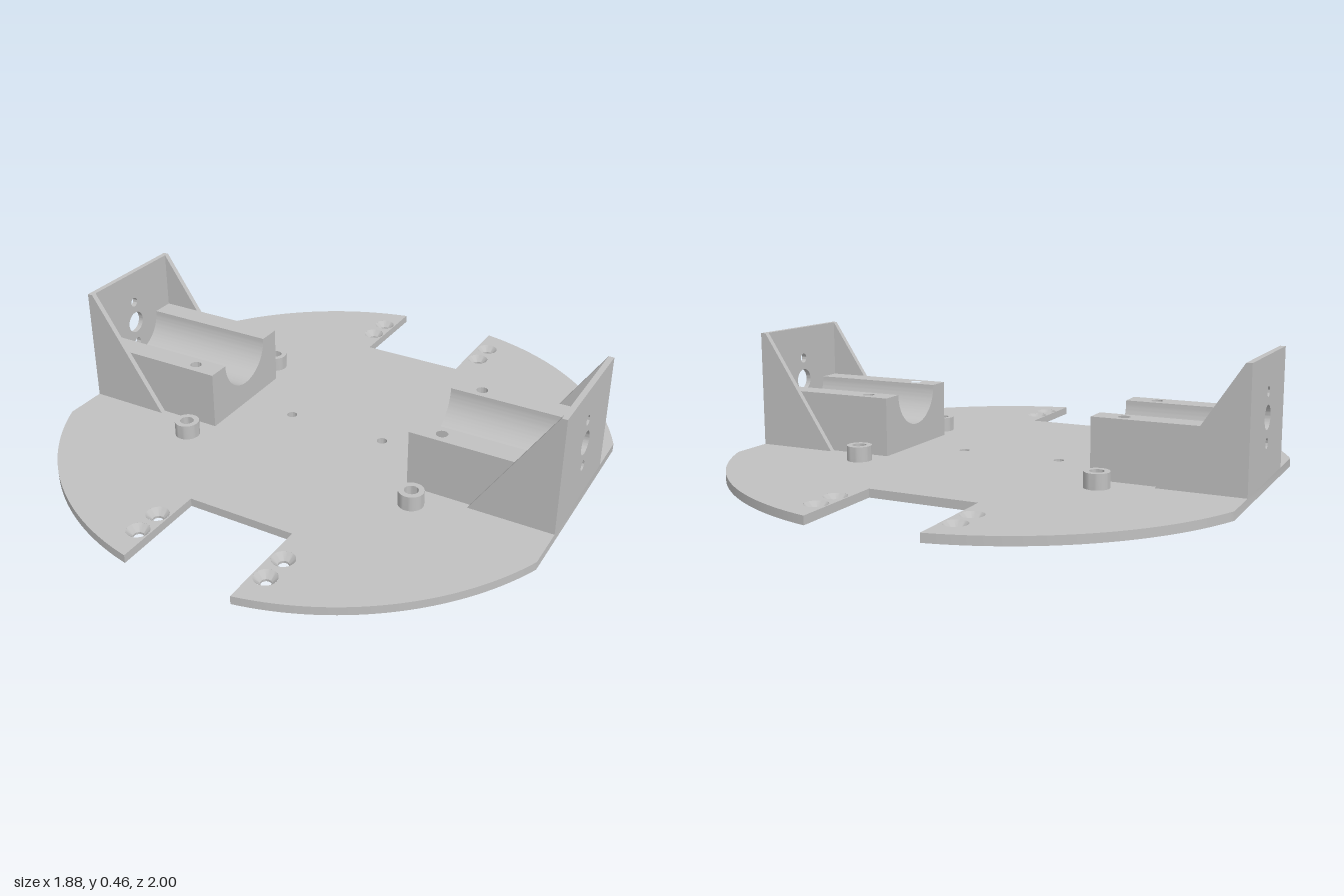
import * as THREE from 'three';
import { toCreasedNormals } from 'three/addons/utils/BufferGeometryUtils.js';

const grey = new THREE.MeshStandardMaterial({ color: 0xc0c0c0 });
grey.name = 'grey plastic';

const T = 0.03;        // base thickness
const EDGE = 0.94;     // flat side edge of the base
const WALL = 0.92;     // inner face of the motor wall
const TOP = 0.245;     // top of the cradle
const STEP = 0.145;    // floor of the screw holes

function mesh(name, geometry) {
  const m = new THREE.Mesh(toCreasedNormals(geometry, 0.6), grey);
  m.name = name;
  return m;
}

function extrude(shape, depth) {
  return new THREE.ExtrudeGeometry(shape, { depth, bevelEnabled: false, curveSegments: 32 });
}

function polygon(points) {
  return new THREE.Shape(points.map(([x, y]) => new THREE.Vector2(x, y)));
}

function addHole(shape, x, y, r) {
  shape.holes.push(new THREE.Path().absarc(x, y, r, 0, Math.PI * 2, true));
}

function ring(name, points, x, z) {
  const m = mesh(name, new THREE.LatheGeometry(points.map(([r, y]) => new THREE.Vector2(r, y)), 32));
  m.position.set(x, 0, z);
  return m;
}

// Round base with flat sides, two slots and screw holes
function createBase() {
  const group = new THREE.Group();
  group.name = 'base';
  const R = Math.hypot(0.2, 1);
  const a = Math.acos(EDGE / R), b = Math.acos(0.2 / R), PI = Math.PI;
  const s = new THREE.Shape();
  s.absarc(0, 0, R, a, b, false);
  s.lineTo(0.2, 0.645);
  s.lineTo(-0.2, 0.645);
  s.absarc(0, 0, R, PI - b, PI - a, false);
  s.absarc(0, 0, R, PI + a, PI + b, false);
  s.lineTo(-0.2, -0.645);
  s.lineTo(0.2, -0.645);
  s.absarc(0, 0, R, -b, -a, false);
  s.closePath();

  for (const sx of [-1, 1]) {
    addHole(s, sx * 0.193, 0, 0.019);
    for (const z of [-0.873, -0.77, 0.77, 0.873]) {
      addHole(s, sx * 0.245, z, 0.04);
      // Conical seat inside each screw hole
      group.add(ring('countersink',
        [[0.04, T], [0.018, 0.008], [0.018, 0], [0.04, 0]], sx * 0.245, z));
    }
    for (const sz of [-1, 1]) {
      group.add(ring('standoff',
        [[0.045, T], [0.045, 0.085], [0.025, 0.085], [0.025, T]], sx * 0.46, sz * 0.306));
    }
  }
  group.add(mesh('basePlate', extrude(s, T).rotateX(-PI / 2)));
  return group;
}

// Motor mount at the +x side
function createMount() {
  const group = new THREE.Group();

  // Upright wall with shaft and screw holes
  const wall = polygon([[-0.235, T], [0.235, T], [0.235, 0.46], [-0.235, 0.46]]);
  addHole(wall, 0, 0.25, 0.042);
  addHole(wall, 0, 0.337, 0.018);
  addHole(wall, 0, 0.162, 0.018);
  group.add(mesh('motorWall', extrude(wall, EDGE - WALL).rotateY(Math.PI / 2).translate(WALL, 0, 0)));

  // Cradle with a half-round groove
  const core = polygon([[-0.13, STEP], [-0.215, STEP], [-0.215, T], [0.215, T],
    [0.215, STEP], [0.13, STEP], [0.13, TOP]]);
  core.absarc(0, TOP, 0.13, 0, -Math.PI, true);
  core.closePath();
  group.add(mesh('motorCradle', extrude(core, WALL - 0.4).rotateY(Math.PI / 2).translate(0.4, 0, 0)));

  const gusset = polygon([[0.635, T], [WALL, T], [WALL, 0.46]]);
  for (const side of [-1, 1]) {
    // Top rail of the cradle with a blind screw hole
    const z0 = side * 0.13, z1 = side * 0.215;
    const rail = polygon([[0.4, z0], [WALL, z0], [WALL, z1], [0.4, z1]]);
    addHole(rail, 0.503, side * 0.172, 0.021);
    group.add(mesh('cradleRail',
      extrude(rail, TOP - STEP).rotateX(-Math.PI / 2).translate(0, STEP, 0)));
    // Triangular brace beside the cradle
    group.add(mesh('gusset', extrude(gusset, 0.02).translate(0, 0, side > 0 ? 0.215 : -0.235)));
  }
  return group;
}

export function createModel() {
  const model = new THREE.Group();
  model.name = 'motorChassis';
  const left = createMount();
  left.name = 'leftMotorMount';
  const right = createMount();
  right.name = 'rightMotorMount';
  right.rotation.y = Math.PI;
  model.add(createBase(), left, right);
  return model;
}
